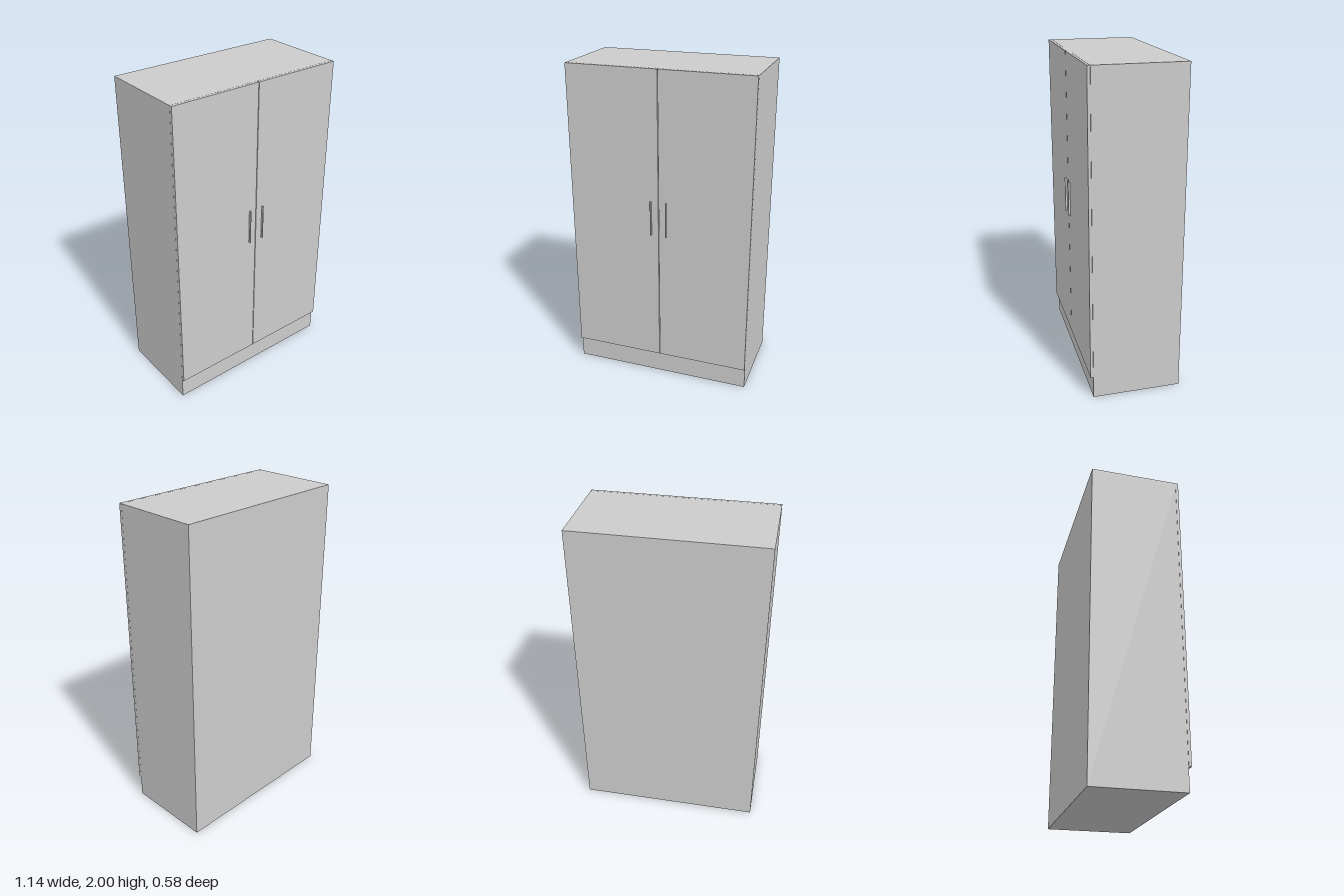
import * as THREE from 'three';

const material = new THREE.MeshStandardMaterial({ color: 0xcccccc });

// Box given by its lower and upper corners
function panel(name, [x0, y0, z0], [x1, y1, z1]) {
  const mesh = new THREE.Mesh(new THREE.BoxGeometry(x1 - x0, y1 - y0, z1 - z0), material);
  mesh.position.set((x0 + x1) / 2, (y0 + y1) / 2, (z0 + z1) / 2);
  mesh.name = name;
  return mesh;
}

// Upright bar handle with a rounded front
function handle(name, x) {
  const r = 0.004, depth = 0.013, height = 0.22;
  const profile = new THREE.Shape();
  profile.moveTo(-r, 0);
  profile.lineTo(-r, -(depth - r));
  profile.absarc(0, -(depth - r), r, Math.PI, Math.PI * 2, false);
  profile.lineTo(r, 0);
  const geometry = new THREE.ExtrudeGeometry(profile, { depth: height, bevelEnabled: false, curveSegments: 8 });
  geometry.rotateX(-Math.PI / 2);
  const mesh = new THREE.Mesh(geometry, material);
  mesh.position.set(x, 0.99, 0.275);
  mesh.name = name;
  return mesh;
}

export function createModel() {
  const group = new THREE.Group();
  group.name = 'wardrobe';
  const w = 0.568, back = -0.288, front = 0.257, gap = 0.002;

  // Carcass with plinth front, and the top board
  group.add(panel('carcass', [-w, 0, back], [w, 1.982, front]));
  group.add(panel('topBoard', [-w, 1.982, back], [w, 2, front]));

  // Pair of doors with handles beside the centre gap
  group.add(panel('leftDoor', [gap, 0.14, front + 0.001], [w, 2, 0.275]));
  group.add(panel('rightDoor', [-w, 0.14, front + 0.001], [-gap, 2, 0.275]));
  group.add(handle('leftHandle', 0.048), handle('rightHandle', -0.048));
  return group;
}
